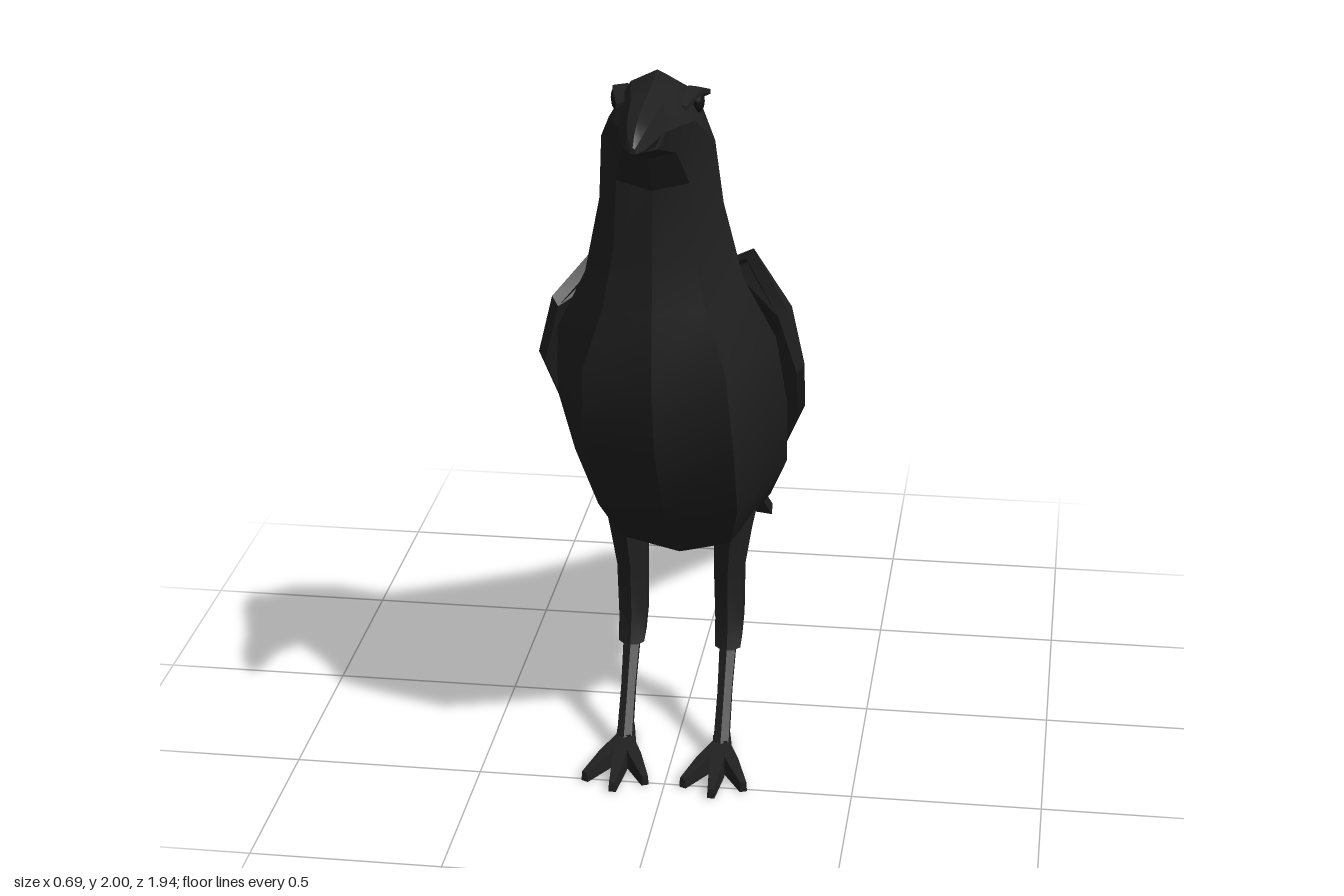
import * as THREE from 'three';
import { toCreasedNormals } from 'three/addons/utils/BufferGeometryUtils.js';

const plumage = new THREE.MeshStandardMaterial({ color: 0x202020 });
plumage.name = 'black plumage';
const eyeBlack = new THREE.MeshStandardMaterial({ color: 0x121212 });
eyeBlack.name = 'eye black';

// Skins a row of equal-length rings of [x, y, z] points and caps both ends.
function loft(name, rings, crease = 0.45) {
  const n = rings[0].length;
  const pos = rings.flat(2);
  let index = [];
  for (let r = 0; r < rings.length - 1; r++) {
    for (let i = 0; i < n; i++) {
      const a = r * n + i, b = r * n + (i + 1) % n;
      index.push(a, b, a + n, b, b + n, a + n);
    }
  }
  [0, rings.length - 1].forEach((r, end) => {
    const c = pos.length / 3;
    for (let k = 0; k < 3; k++) pos.push(rings[r].reduce((s, p) => s + p[k], 0) / n);
    for (let i = 0; i < n; i++) {
      const a = r * n + i, b = r * n + (i + 1) % n;
      index.push(...(end ? [a, b, c] : [b, a, c]));
    }
  });
  // Turn the shell outward if its enclosed volume is negative
  const v = (i) => new THREE.Vector3().fromArray(pos, i * 3);
  let volume = 0;
  for (let i = 0; i < index.length; i += 3) {
    volume += v(index[i]).dot(v(index[i + 1]).cross(v(index[i + 2])));
  }
  if (volume < 0) index.reverse();
  const g = new THREE.BufferGeometry();
  g.setAttribute('position', new THREE.Float32BufferAttribute(pos, 3));
  g.setIndex(index);
  const mesh = new THREE.Mesh(toCreasedNormals(g, crease), plumage);
  mesh.name = name;
  return mesh;
}

// Eight-sided body ring between a front and a back point: [side, depth] factors
const BODY_RING = [[0, 1], [0.64, 0.84], [1, 0.1], [0.58, -0.72], [0, -1], [-0.58, -0.72], [-1, 0.1], [-0.64, 0.84]];
function bodyRing([fz, fy, bz, by, w]) {
  return BODY_RING.map(([s, d]) => [s * w, (fy + by) / 2 + d * (fy - by) / 2, (fz + bz) / 2 + d * (fz - bz) / 2]);
}

// Regular ring in the horizontal plane, for the legs
function legRing(x, y, z, rx, rz, tilt = 0) {
  return Array.from({ length: 6 }, (_, i) => {
    const a = (i + 0.5) * Math.PI / 3;
    return [x + Math.cos(a) * rx, y + Math.sin(a) * rz * tilt, z + Math.sin(a) * rz];
  });
}

function wing(side) {
  // Each station: inner top edge, ridge, outer lower edge
  const stations = [
    [[0.05, 1.34, 0.15], [0.2, 1.44, 0.25], [0.3, 1.34, 0.4]],
    [[0.02, 1.3, 0.06], [0.29, 1.25, 0.15], [0.345, 1.17, 0.355]],
    [[0.02, 1.12, -0.1], [0.25, 1.09, 0.0], [0.33, 0.98, 0.17]],
    [[0.02, 0.88, -0.31], [0.17, 0.86, -0.2], [0.25, 0.74, -0.13]],
    [[0.02, 0.7, -0.49], [0.09, 0.68, -0.44], [0.12, 0.58, -0.42]],
    [[0.03, 0.5, -0.69], [0.07, 0.48, -0.69], [0.1, 0.425, -0.68]],
  ];
  const rings = stations.map((s) => {
    const under = s.map(([x, y, z]) => [Math.max(x - 0.018, 0.015), y - 0.022, z + 0.015]).reverse();
    return [...s, ...under].map(([x, y, z]) => [x * side, y, z]);
  });
  return loft(side > 0 ? 'leftWing' : 'rightWing', rings);
}

function leg(side) {
  const g = new THREE.Group();
  g.name = side > 0 ? 'leftLeg' : 'rightLeg';
  const x = 0.132 * side;
  g.add(loft('thigh', [
    legRing(0.17 * side, 0.82, 0.13, 0.07, 0.12),
    legRing(0.14 * side, 0.6, 0.165, 0.055, 0.065),
    legRing(x, 0.5, 0.165, 0.046, 0.052),
    legRing(x, 0.35, 0.155, 0.043, 0.05),
    legRing(x, 0.285, 0.18, 0.04, 0.048, -0.4),
  ]));
  g.add(loft('shank', [
    legRing(x, 0.31, 0.175, 0.026, 0.03),
    legRing(x, 0.17, 0.26, 0.022, 0.026),
    legRing(x, 0.04, 0.34, 0.024, 0.028),
  ]));
  // Three toes forward and one back, each a tapering wedge
  const toes = [[0, 0.23], [0.42, 0.2], [-0.42, 0.2], [Math.PI, 0.115]];
  toes.forEach(([angle, length]) => {
    const section = (d, w, h) => [[-w, 0.005], [w, 0.005], [w * 0.8, h], [-w * 0.8, h]].map(([s, y]) => [
      x + Math.sin(angle) * d + Math.cos(angle) * s, y, 0.33 + Math.cos(angle) * d - Math.sin(angle) * s]);
    g.add(loft('toe', [section(-0.02, 0.022, 0.063), section(length * 0.5, 0.021, 0.048), section(length, 0.01, 0.032)]));
  });
  return g;
}

export function createModel() {
  const bird = new THREE.Group();
  bird.name = 'bird';

  // Head, neck and body: front z, front y, back z, back y, half width
  bird.add(loft('body', [
    [0.82, 1.865, 0.8, 1.978, 0.055],
    [0.74, 1.825, 0.58, 2.0, 0.105],
    [0.68, 1.725, 0.44, 1.95, 0.14],
    [0.68, 1.55, 0.32, 1.77, 0.155],
    [0.69, 1.4, 0.22, 1.49, 0.2],
    [0.71, 1.24, 0.11, 1.31, 0.28],
    [0.66, 1.02, -0.05, 1.1, 0.3],
    [0.48, 0.77, -0.19, 0.89, 0.285],
    [0.32, 0.61, -0.26, 0.75, 0.23],
    [0.2, 0.55, -0.28, 0.69, 0.18],
    [-0.02, 0.51, -0.26, 0.66, 0.12],
    [-0.22, 0.6, -0.27, 0.66, 0.07],
  ].map(bodyRing)));

  // Upper and lower bill: z, mouth y, outer y, half width
  const bill = (name, rows) => loft(name, rows.map(([z, mouth, outer, w]) => [
    [-w, mouth, z], [w, mouth, z], [w * 0.6, mouth + (outer - mouth) * 0.75, z],
    [0, outer, z], [-w * 0.6, mouth + (outer - mouth) * 0.75, z]]));
  bird.add(bill('upperBill', [
    [0.72, 1.93, 1.985, 0.066], [0.82, 1.925, 1.978, 0.056], [0.9, 1.92, 1.967, 0.042],
    [0.95, 1.913, 1.948, 0.026], [0.975, 1.91, 1.925, 0.008]]));
  bird.add(bill('lowerBill', [
    [0.72, 1.93, 1.85, 0.06], [0.82, 1.925, 1.867, 0.05], [0.9, 1.92, 1.886, 0.035], [0.95, 1.914, 1.9, 0.018]]));

  // Tail fan: z, y, half width
  bird.add(loft('tail', [[-0.12, 0.77, 0.15], [-0.28, 0.655, 0.135], [-0.48, 0.52, 0.108], [-0.955, 0.195, 0.128]].map(([z, y, w]) => [
    [-w, y - 0.005, z], [0, y + 0.008, z - 0.008], [w, y - 0.005, z],
    [w, y - 0.033, z + 0.017], [0, y - 0.022, z + 0.009], [-w, y - 0.033, z + 0.017]])));

  for (const side of [1, -1]) {
    bird.add(wing(side), leg(side));
    // Eye and the brow over it
    const eye = new THREE.Mesh(new THREE.SphereGeometry(0.03, 8, 6), eyeBlack);
    eye.name = 'eye';
    eye.scale.x = 0.5;
    eye.position.set(0.1 * side, 1.925, 0.575);
    bird.add(eye);
    bird.add(loft('brow', [[0.68, 1.94, 0.065, 0.085], [0.58, 1.957, 0.075, 0.11], [0.49, 1.93, 0.08, 0.118]].map(([z, y, a, b]) => [
      [a * side, y + 0.006, z], [b * side, y, z], [b * side, y - 0.012, z], [a * side, y - 0.03, z]])));
  }
  return bird;
}
